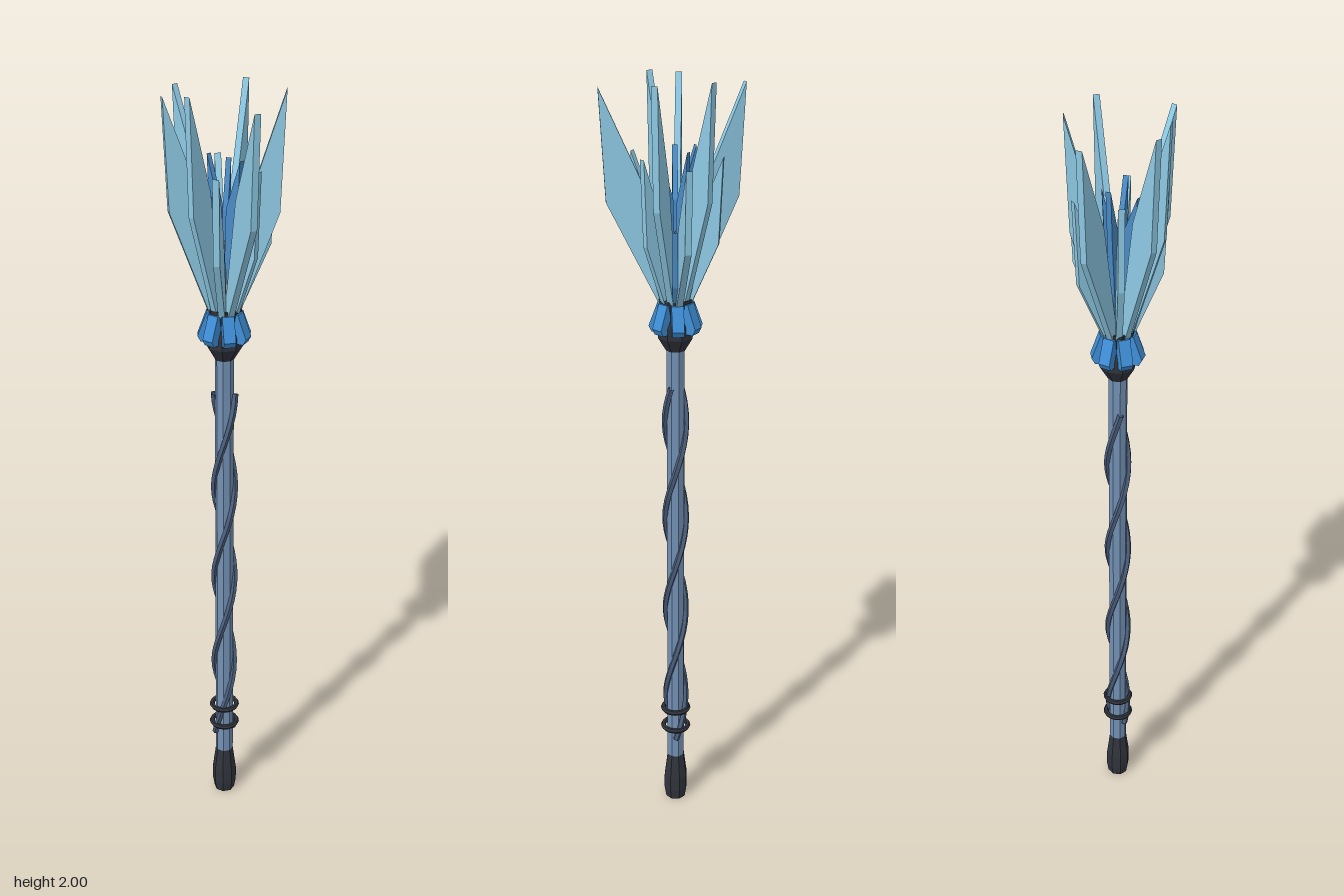
import * as THREE from 'three';

const mat = (color) => new THREE.MeshStandardMaterial({ color, flatShading: true, side: THREE.DoubleSide });
const steel = mat(0x7391b5), vine = mat(0x4c5f7d), dark = mat(0x30343c);
const ice = mat(0x8fcbe6), gem = mat(0x3f8fd8), innerIce = mat(0x4a8cc8), pale = mat(0xcccccc);

export function createModel() {
  const model = new THREE.Group();
  const add = (name, geometry, material, parent = model) => {
    const mesh = new THREE.Mesh(geometry, material);
    mesh.name = name;
    parent.add(mesh);
    return mesh;
  };
  const lathe = (points, sides) =>
    new THREE.LatheGeometry(points.map(([r, y]) => new THREE.Vector2(r, y)), sides);

  // Pommel and shaft
  add('pommel', lathe([[0, 0], [0.028, 0], [0.033, 0.03], [0.033, 0.07], [0.023, 0.148], [0, 0.148]], 8), dark);
  add('shaft', new THREE.CylinderGeometry(0.024, 0.024, 1.22, 8), steel).position.y = 0.75;

  // Grip rings
  for (const y of [0.232, 0.29]) {
    const ring = add('gripRing', new THREE.TorusGeometry(0.034, 0.007, 6, 16), dark);
    ring.rotation.x = Math.PI / 2;
    ring.position.y = y;
  }

  // Two strands winding up the shaft
  for (const phase of [0, Math.PI]) {
    const points = [];
    for (let i = 0; i <= 32; i++) {
      const y = 0.2 + (1.04 * i) / 32;
      const t = (Math.PI * (y - 0.36)) / 0.27 + phase;
      points.push(new THREE.Vector3(0.027 * Math.sin(t), y, 0.027 * Math.cos(t)));
    }
    add('windingStrand', new THREE.TubeGeometry(new THREE.CatmullRomCurve3(points), 40, 0.0085, 5), vine);
  }

  // Open cup that holds the crystals
  add('cup', lathe([[0, 1.335], [0.025, 1.335], [0.046, 1.37], [0.046, 1.4], [0.036, 1.425],
    [0.044, 1.47], [0.036, 1.47], [0.028, 1.42], [0, 1.41]], 8), dark);

  // Flat plate cut from a radial outline, turned to face an angle
  const plate = (name, outline, thickness, angle, material, parent) => {
    const shape = new THREE.Shape(outline.map(([r, y]) => new THREE.Vector2(r, y)));
    const geometry = new THREE.ExtrudeGeometry(shape, { depth: thickness, bevelEnabled: false });
    geometry.translate(0, 0, -thickness / 2);
    add(name, geometry, material, parent).rotation.y = angle;
  };

  // Gems around the cup
  const gems = new THREE.Group();
  gems.name = 'cupGems';
  model.add(gems);
  for (let i = 0; i < 7; i++) {
    plate('cupGem', [[0.03, 1.385], [0.058, 1.385], [0.066, 1.4], [0.044, 1.46], [0.034, 1.46]],
      0.03, (i / 7) * Math.PI * 2 + Math.PI / 2, gem, gems);
  }

  // Outer crystal blades: tip x, tip z, tip height, shoulder height
  const blades = [
    [-0.01, -0.178, 1.98, 1.71], [0.058, -0.1, 1.82, 1.61], [0.108, -0.055, 2.0, 1.72],
    [0.14, 0.015, 1.81, 1.61], [0.112, 0.09, 2.0, 1.71], [0.03, 0.094, 1.82, 1.61],
    [-0.045, 0.176, 1.98, 1.71], [-0.088, 0.08, 1.82, 1.61], [-0.124, 0.023, 2.0, 1.72],
    [-0.137, -0.056, 1.99, 1.72], [-0.058, -0.08, 1.82, 1.61],
  ];
  const crown = new THREE.Group();
  crown.name = 'crystalCrown';
  model.add(crown);
  for (const [x, z, tip, shoulder] of blades) {
    const r = Math.hypot(x, z);
    plate('crystalBlade', [[0.012, 1.43], [0.028, 1.43], [r * 0.92, shoulder], [r, tip],
      [r * 0.45, shoulder + 0.05]], 0.016, Math.atan2(-z, x), ice, crown);
  }

  // Smaller blue shards inside
  const shards = [[-0.07, -0.022, 1.83], [0.066, 0.024, 1.65], [0.01, 0.052, 1.84],
    [-0.03, 0.027, 1.65], [-0.006, -0.052, 1.84], [0.03, -0.022, 1.83]];
  for (const [x, z, tip] of shards) {
    const r = Math.hypot(x, z);
    plate('innerShard', [[0, 1.42], [0.018, 1.42], [r * 0.85, tip - 0.14], [r, tip], [r * 0.2, tip - 0.12]],
      0.013, Math.atan2(-z, x), innerIce, crown);
  }

  // Pale core
  add('core', lathe([[0, 1.41], [0.02, 1.42], [0.016, 1.56], [0, 1.64]], 6), pale);

  return model;
}
